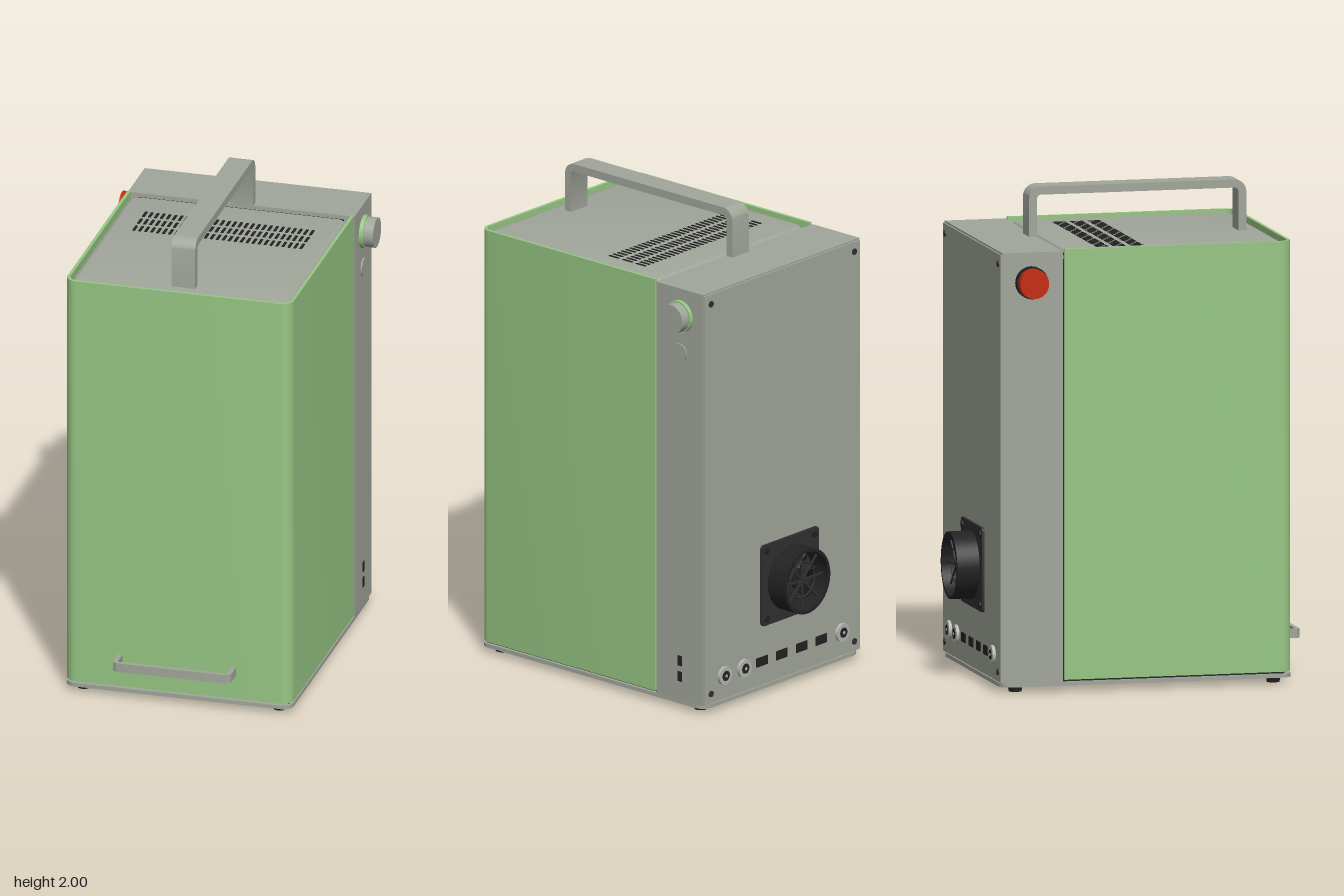
import * as THREE from 'three';
import { toCreasedNormals } from 'three/addons/utils/BufferGeometryUtils.js';

const mat = (name, color) => new THREE.MeshStandardMaterial({ name, color });

// U-shaped strip outline: two legs rising from b0 to a rounded bridge at b1
function uShape(w, b0, b1, r, t) {
  const s = new THREE.Shape();
  const i = w - t, q = Math.max(r - t, 0.004);
  s.moveTo(-w, b0);
  s.lineTo(-i, b0);
  s.lineTo(-i, b1 - t - q);
  s.absarc(-i + q, b1 - t - q, q, Math.PI, Math.PI / 2, true);
  s.absarc(i - q, b1 - t - q, q, Math.PI / 2, 0, true);
  s.lineTo(i, b0);
  s.lineTo(w, b0);
  s.lineTo(w, b1 - r);
  s.absarc(w - r, b1 - r, r, 0, Math.PI / 2, false);
  s.absarc(-w + r, b1 - r, r, Math.PI / 2, Math.PI, false);
  s.closePath();
  return s;
}

function roundRect(x0, y0, x1, y1, r) {
  const s = new THREE.Shape();
  s.absarc(x1 - r, y1 - r, r, 0, Math.PI / 2);
  s.absarc(x0 + r, y1 - r, r, Math.PI / 2, Math.PI);
  s.absarc(x0 + r, y0 + r, r, Math.PI, Math.PI * 1.5);
  s.absarc(x1 - r, y0 + r, r, Math.PI * 1.5, Math.PI * 2);
  s.closePath();
  return s;
}

function extrude(shape, depth, bevel = 0) {
  const g = new THREE.ExtrudeGeometry(shape, {
    depth: depth - 2 * bevel, curveSegments: 8, bevelEnabled: bevel > 0,
    bevelSize: bevel, bevelThickness: bevel, bevelOffset: -bevel, bevelSegments: 3,
  });
  return toCreasedNormals(g.translate(0, 0, bevel), 0.6);
}

// Shape drawn in (x, z), filled between heights y0 and y1
const slab = (shape, y0, y1, bevel) =>
  extrude(shape, y1 - y0, bevel).rotateX(Math.PI / 2).translate(0, y1, 0);

export function createModel() {
  const model = new THREE.Group();
  model.name = 'instrumentCabinet';
  const green = mat('green', 0x97c684);
  const grey = mat('grey', 0xa1a69b);
  const black = mat('black', 0x222222);
  const charcoal = mat('charcoal', 0x303032);
  const red = mat('red', 0xc42a0c);
  const silver = mat('lightGrey', 0xb4b8b0);

  const add = (name, geometry, material, parent = model) => {
    const m = new THREE.Mesh(geometry, material);
    m.name = name;
    parent.add(m);
    return m;
  };
  const box = (name, x0, x1, y0, y1, z0, z1, material) =>
    add(name, new THREE.BoxGeometry(x1 - x0, y1 - y0, z1 - z0)
      .translate((x0 + x1) / 2, (y0 + y1) / 2, (z0 + z1) / 2), material);
  // Cylinders along x and z, between two positions on that axis
  const cylX = (name, x0, x1, y, z, r, material) =>
    add(name, new THREE.CylinderGeometry(r, r, x1 - x0, 32).rotateZ(Math.PI / 2)
      .translate((x0 + x1) / 2, y, z), material);
  const cylZ = (name, z0, z1, x, y, r, material, n = 24) =>
    add(name, new THREE.CylinderGeometry(r, r, z1 - z0, n).rotateX(Math.PI / 2)
      .translate(x, y, (z0 + z1) / 2), material);

  // Base plate and feet
  add('basePlate', slab(roundRect(-0.475, -0.6, 0.475, 0.615, 0.045), 0.024, 0.04), grey);
  for (const x of [-0.41, 0.41]) for (const z of [-0.525, 0.55])
    add('foot', new THREE.CylinderGeometry(0.03, 0.026, 0.026, 24).translate(x, 0.013, z), black);

  // Wrap-round front shell, inner body and lid
  add('shell', slab(uShape(0.475, -0.335, 0.615, 0.05, 0.013), 0.048, 1.805), green);
  box('seam', -0.461, 0.461, 0.04, 1.76, -0.345, 0.585, black);
  add('innerBody', slab(roundRect(-0.463, -0.334, 0.463, 0.603, 0.035), 1.74, 1.772), grey);
  add('lid', slab(roundRect(-0.452, -0.322, 0.452, 0.588, 0.04), 1.76, 1.792, 0.012), grey);
  box('lidGap', -0.43, 0.43, 1.76, 1.78, -0.342, -0.318, black);

  // Three rows of vent slots in the lid
  const slots = [];
  for (const z of [-0.148, -0.076, -0.003])
    for (let i = 0; i < 29; i++) {
      const x = -0.35 + i * 0.025;
      slots.push(roundRect(x - 0.006, z - 0.027, x + 0.006, z + 0.027, 0.005));
    }
  add('lidVents', slab(slots, 1.789, 1.7935), black);

  // Rear electronics box with its back panel
  box('rearBox', -0.475, 0.475, 0.04, 1.797, -0.594, -0.342, grey);
  box('backPanel', -0.472, 0.472, 0.045, 1.79, -0.601, -0.594, grey);
  for (const x of [-0.435, 0.435]) for (const y of [0.085, 1.75])
    cylZ('panelScrew', -0.606, -0.598, x, y, 0.013, charcoal, 16);

  // Carrying handle over the top
  add('carryHandle', extrude(uShape(0.4525, 1.785, 2, 0.05, 0.033), 0.1)
    .translate(0, 0, -0.05).rotateY(-Math.PI / 2).translate(0, 0, 0.0775), grey);

  // Front pull
  add('frontPull', slab(uShape(0.247, 0.61, 0.705, 0.022, 0.018), 0.15, 0.187)
    .translate(-0.002, 0, 0), grey);

  // Knob, small button and ports on the left side
  cylX('knobRing', 0.47, 0.492, 1.68, -0.472, 0.068, green);
  cylX('knob', 0.49, 0.533, 1.68, -0.472, 0.062, grey);
  cylX('smallButton', 0.47, 0.481, 1.525, -0.47, 0.038, grey);
  for (const y of [0.14, 0.207])
    box('sidePort', 0.47, 0.478, y - 0.021, y + 0.021, -0.481, -0.459, black);

  // Emergency stop on the right side
  cylX('stopCollar', -0.502, -0.47, 1.675, -0.475, 0.066, black);
  cylX('stopButton', -0.537, -0.5, 1.675, -0.475, 0.06, red);

  // Exhaust fan on the back
  const fan = new THREE.Group();
  fan.name = 'exhaustFan';
  fan.position.set(-0.037, 0.467, -0.6);
  fan.rotation.y = Math.PI;
  model.add(fan);
  add('fanPlate', extrude(roundRect(-0.172, -0.172, 0.172, 0.172, 0.015), 0.012), charcoal, fan);
  const ring = new THREE.Shape().absarc(0, 0, 0.137, 0, Math.PI * 2);
  ring.holes.push(new THREE.Path().absarc(0, 0, 0.124, 0, Math.PI * 2, true));
  const duct = new THREE.ExtrudeGeometry(ring, { depth: 0.093, bevelEnabled: false, curveSegments: 40 });
  add('fanDuct', toCreasedNormals(duct, 0.6).translate(0, 0, 0.012), black, fan);
  add('fanHub', new THREE.CylinderGeometry(0.04, 0.04, 0.05, 24).rotateX(Math.PI / 2)
    .translate(0, 0, 0.037), black, fan);
  for (let i = 0; i < 7; i++) {
    const blade = new THREE.BoxGeometry(0.085, 0.045, 0.006).rotateX(0.5).translate(0.08, 0, 0.036);
    add('fanBlade', blade.rotateZ(i * Math.PI * 2 / 7), black, fan);
  }
  for (let i = 0; i < 4; i++)
    add('grilleBar', new THREE.BoxGeometry(0.25, 0.008, 0.006).translate(0, 0, 0.075)
      .rotateZ(i * Math.PI / 4), charcoal, fan);
  add('grilleRing', new THREE.TorusGeometry(0.075, 0.004, 6, 32).translate(0, 0, 0.075), charcoal, fan);
  for (const x of [-0.145, 0.145]) for (const y of [-0.145, 0.145])
    add('fanScrew', new THREE.CylinderGeometry(0.014, 0.014, 0.008, 16).rotateX(Math.PI / 2)
      .translate(x, y, 0.014), black, fan);

  // Connector row along the bottom of the back
  for (const x of [-0.357, 0.238, 0.357]) {
    cylZ('socketRing', -0.614, -0.598, x, 0.145, 0.038, silver);
    cylZ('socketHole', -0.616, -0.61, x, 0.145, 0.021, black);
    cylZ('socketPin', -0.618, -0.612, x, 0.145, 0.007, silver, 12);
  }
  for (let i = 0; i < 4; i++) {
    const x = 0.126 - i * 0.12;
    box('rearPort', x - 0.033, x + 0.033, 0.126, 0.164, -0.605, -0.598, black);
  }
  return model;
}
